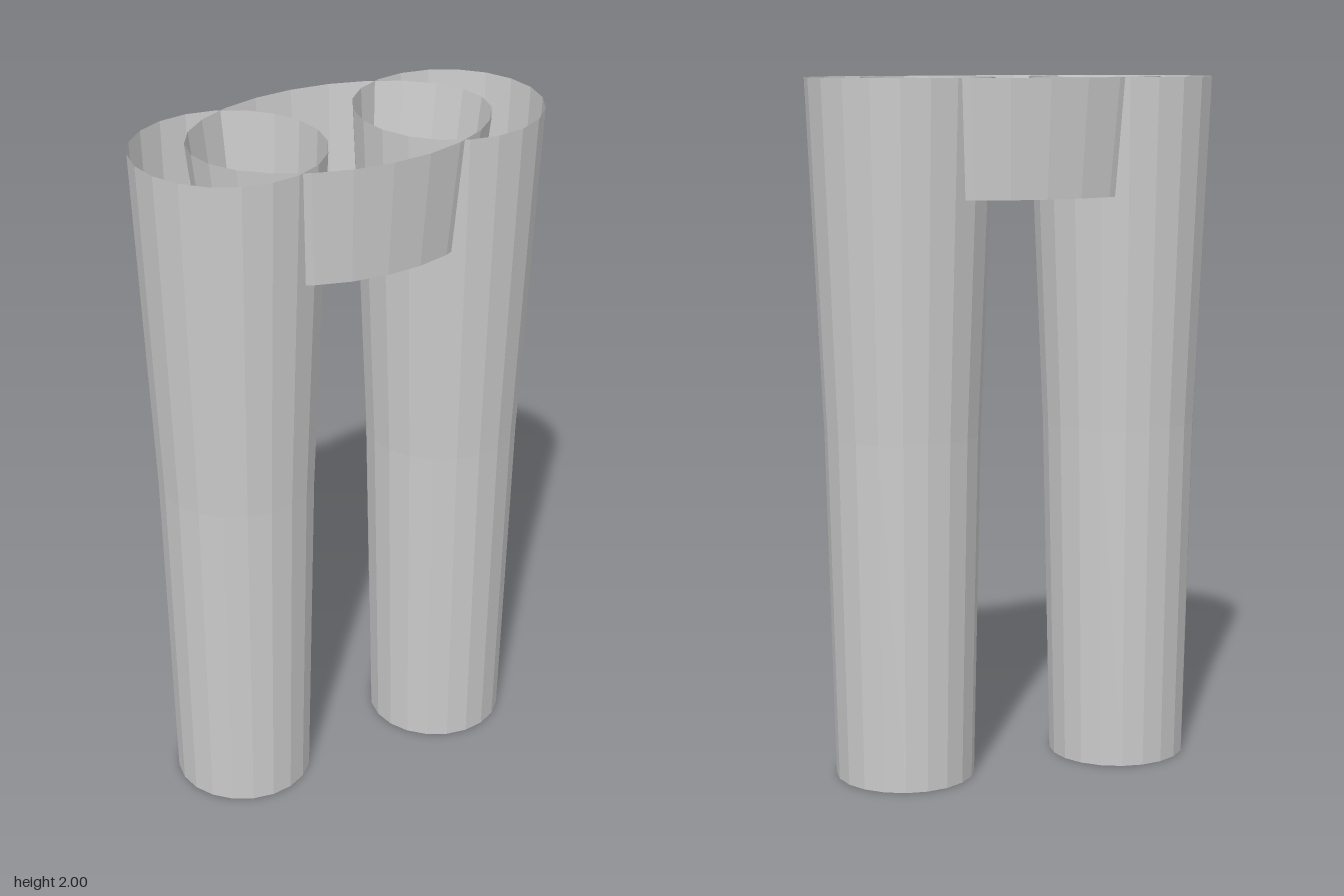
import * as THREE from 'three';

const material = new THREE.MeshStandardMaterial({
  color: 0xcccccc, flatShading: true, side: THREE.DoubleSide,
});

// Open tube turned from a [radius, height] profile, with a vertex on each axis
function openTube(name, profile, segments) {
  const points = profile.map(([r, y]) => new THREE.Vector2(r, y));
  const mesh = new THREE.Mesh(new THREE.LatheGeometry(points, segments), material);
  mesh.name = name;
  return mesh;
}

export function createModel() {
  const group = new THREE.Group();
  group.name = 'trousers';

  // Legs: open at both ends, flaring a little more above the knee
  for (const [name, side] of [['leftLeg', 1], ['rightLeg', -1]]) {
    const leg = openTube(name, [[0.2, 0], [0.222, 1], [0.265, 2]], 20);
    leg.position.x = side * 0.334;
    group.add(leg);
  }

  // Waist: oval band running through both legs, wider at the top
  const waist = openTube('waistBand', [[0.4, 1.67], [0.44, 2]], 24);
  waist.scale.z = 0.67;
  group.add(waist);

  return group;
}
